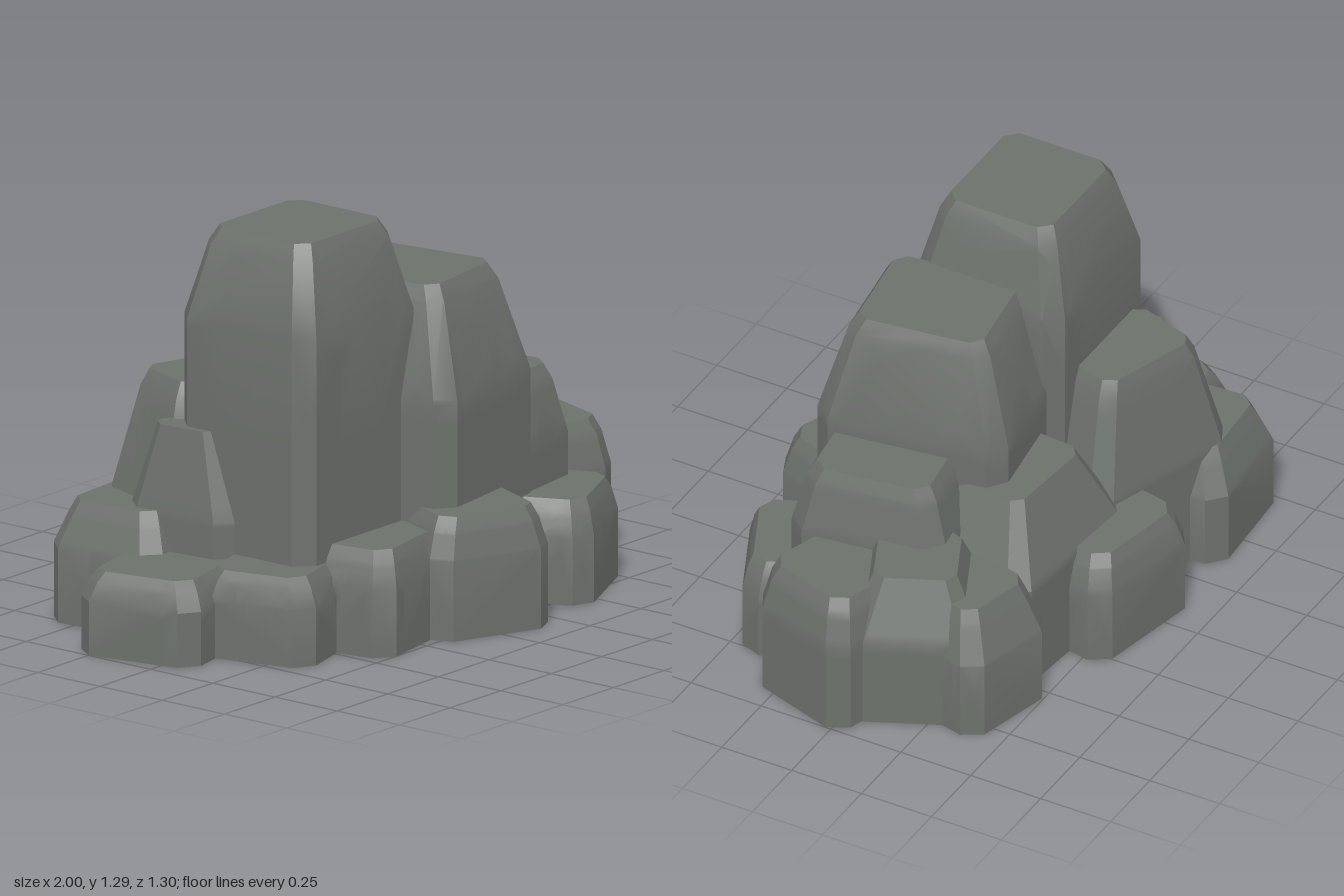
import * as THREE from 'three';
import { ConvexGeometry } from 'three/addons/geometries/ConvexGeometry.js';
import { toCreasedNormals } from 'three/addons/utils/BufferGeometryUtils.js';

// Each rock: name, centre x, centre z, width, depth, turn in degrees, height,
// then for the tall ones shoulder level (share of height) and top scale.
const ROCKS = [
  ['tallPillar', -0.285, 0.015, 0.59, 0.53, 0, 1.295, 0.78, 0.69],
  ['secondPillar', 0.145, 0.095, 0.55, 0.64, -8, 1.08, 0.68, 0.65],
  ['rightStep', 0.48, 0.1, 0.37, 0.52, -8, 0.69, 0.68, 0.73],
  ['backStep', -0.3, -0.32, 0.57, 0.4, 18, 0.77, 0.5, 0.62],
  ['backRightStep', 0.22, -0.22, 0.6, 0.46, 5, 0.61, 0.58, 0.58],
  ['leftSliver', -0.56, -0.2, 0.17, 0.4, -5, 0.66, 0.58, 0.55],
  ['rightRock', 0.745, 0.09, 0.44, 0.4, 18, 0.46],
  ['rightRidge', 0.66, -0.12, 0.42, 0.42, -25, 0.5, 0.6, 0.62],
  ['backRightRock', 0.61, -0.25, 0.37, 0.44, 14, 0.43, 0.6, 0.7],
  ['backRock', 0.04, -0.44, 0.46, 0.36, 11, 0.37],
  ['backLeftRock', -0.54, -0.42, 0.44, 0.42, -4, 0.39, 0.62, 0.72],
  ['leftRock', -0.762, -0.14, 0.42, 0.42, -12, 0.265],
  ['frontLeftRock', -0.6, 0.16, 0.3, 0.39, -15, 0.28],
  ['frontRock', -0.26, 0.31, 0.46, 0.33, -10, 0.335],
  ['frontCentreRock', 0.05, 0.427, 0.42, 0.36, 22, 0.39],
  ['frontRightRock', 0.54, 0.39, 0.42, 0.3, -25, 0.33],
];

// Convex rock: straight wall, sloping shoulder and bevelled top, open below.
function rockTriangles([, x, z, width, depth, turn, height, shoulder = 0.66, topScale = 0.78]) {
  const chamfer = 0.055; // length cut from each side at the corners
  const bevel = Math.min(0.05, height * 0.12);
  const rings = [
    [0, 1], [shoulder * height, 1],
    [height - bevel, topScale * 1.14], [height, topScale],
  ];
  const points = [];
  for (const [y, k] of rings) {
    for (const sx of [-1, 1]) {
      for (const sz of [-1, 1]) {
        for (const [cx, cz] of [[chamfer, 0], [0, chamfer]]) {
          points.push(new THREE.Vector3(sx * k * (width / 2 - cx), y, sz * k * (depth / 2 - cz)));
        }
      }
    }
  }
  const pos = new ConvexGeometry(points)
    .rotateY(-THREE.MathUtils.degToRad(turn))
    .translate(x, 0, z)
    .getAttribute('position');
  const tris = [];
  for (let i = 0; i < pos.count; i += 3) {
    const tri = [0, 1, 2].map((j) => new THREE.Vector3().fromBufferAttribute(pos, i + j));
    const face = new THREE.Triangle(...tri);
    if (face.getArea() < 1e-8) continue;
    if (face.getNormal(new THREE.Vector3()).y > -0.9) tris.push(tri);
  }
  return tris;
}

// Split a polygon by a plane into its outer and inner pieces.
function split(poly, plane) {
  const eps = 1e-6;
  const dist = poly.map((p) => plane.distanceToPoint(p));
  const out = [], inn = [];
  poly.forEach((a, i) => {
    const next = (i + 1) % poly.length;
    const da = dist[i], db = dist[next];
    if (da >= -eps) out.push(a);
    if (da <= eps) inn.push(a);
    if ((da > eps && db < -eps) || (da < -eps && db > eps)) {
      const m = a.clone().lerp(poly[next], da / (da - db));
      out.push(m);
      inn.push(m);
    }
  });
  return [dist.some((d) => d > eps) ? out : [], dist.some((d) => d < -eps) ? inn : []];
}

// Keep only the parts of a polygon outside a convex rock.
function outside(poly, planes) {
  const kept = [];
  let rest = poly;
  for (const plane of planes) {
    const [out, inn] = split(rest, plane);
    if (inn.length < 3) return kept.length ? [...kept, rest] : [poly];
    if (out.length > 2) kept.push(out);
    rest = inn;
  }
  return kept;
}

export function createModel() {
  const group = new THREE.Group();
  group.name = 'rockFormation';
  const stone = new THREE.MeshStandardMaterial({ color: 0x6d716c, side: THREE.DoubleSide });
  stone.name = 'greyStone';

  const shells = ROCKS.map(rockTriangles);
  const solids = shells.map((tris) =>
    tris.map((t) => new THREE.Plane().setFromCoplanarPoints(...t)));

  ROCKS.forEach(([name], i) => {
    // Trim away what lies buried in neighbouring rocks, leaving a hollow shell.
    let polys = shells[i];
    solids.forEach((planes, j) => {
      if (j !== i) polys = polys.flatMap((p) => outside(p, planes));
    });
    const points = polys.flatMap((p) =>
      p.slice(2).flatMap((corner, n) => [p[0], p[n + 1], corner]));
    const geometry = new THREE.BufferGeometry().setFromPoints(points);
    const mesh = new THREE.Mesh(toCreasedNormals(geometry, 0.4), stone);
    mesh.name = name;
    group.add(mesh);
  });
  return group;
}
